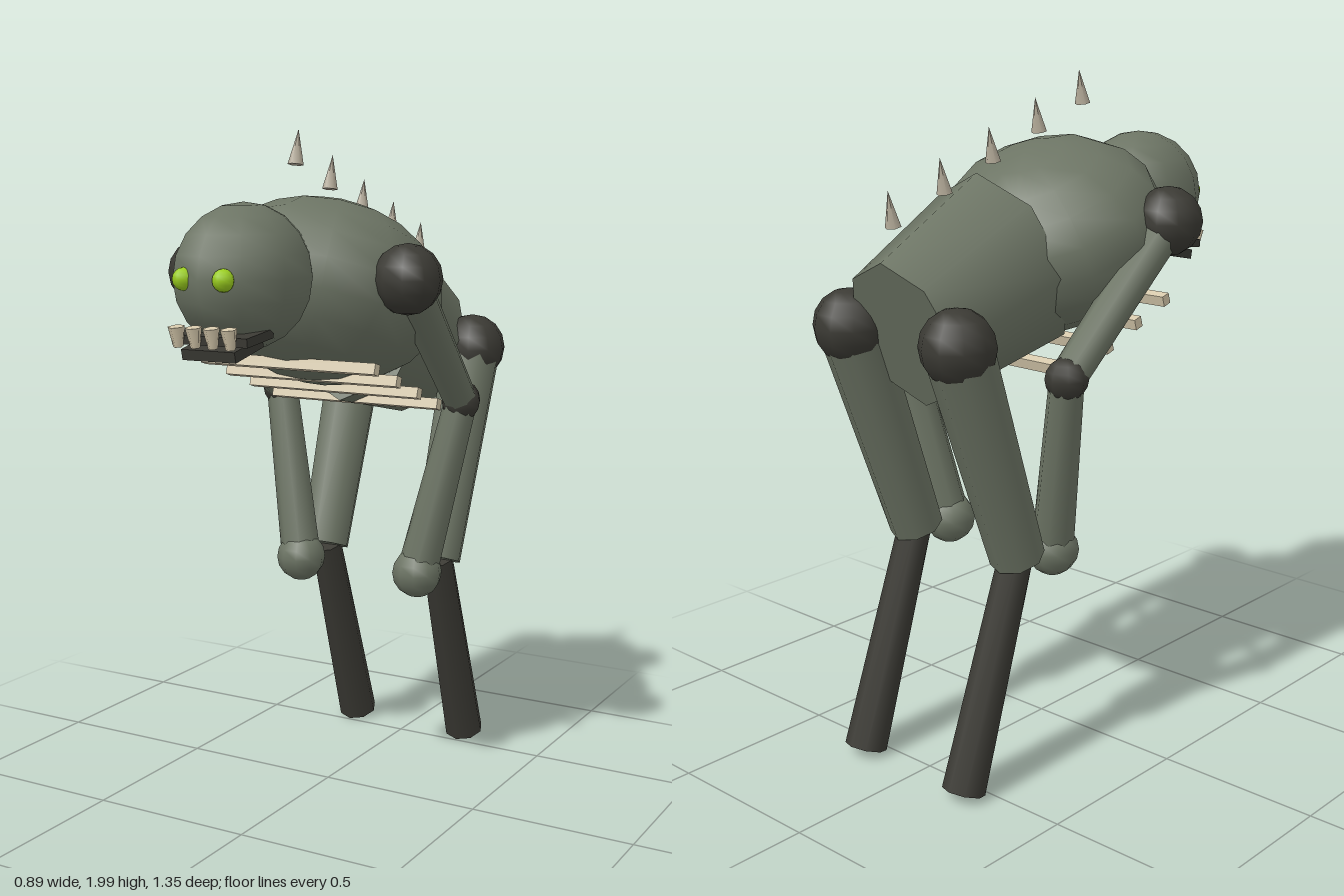
import * as THREE from 'three';

const paint = (name, color) => {
  const m = new THREE.MeshStandardMaterial({ color });
  m.name = name;
  return m;
};

export function createModel() {
  const skin = paint('greyGreenSkin', 0x6c7464);
  const dark = paint('darkHide', 0x3b3a34);
  const bone = paint('bone', 0xd6c9ac);
  const horn = paint('horn', 0xb3aa98);
  const glow = paint('limeEye', 0x9acd1e);

  const model = new THREE.Group();
  model.name = 'creature';

  const add = (name, geometry, material, [x, y, z], tilt = 0) => {
    const mesh = new THREE.Mesh(geometry, material);
    mesh.name = name;
    mesh.position.set(x, y, z);
    mesh.rotation.x = tilt;
    model.add(mesh);
    return mesh;
  };

  const ball = (name, r, material, at, segs = 10) =>
    add(name, new THREE.SphereGeometry(r, segs, 8), material, at);

  // tapered limb running from point a to point b
  const limb = (name, a, b, ra, rb, material, sides = 8) => {
    const from = new THREE.Vector3(...a), to = new THREE.Vector3(...b);
    const dir = to.clone().sub(from);
    const mesh = add(name, new THREE.CylinderGeometry(rb, ra, dir.length(), sides), material,
      from.clone().add(to).multiplyScalar(0.5).toArray());
    mesh.quaternion.setFromUnitVectors(new THREE.Vector3(0, 1, 0), dir.normalize());
    return mesh;
  };

  // torso
  add('ribcage', new THREE.SphereGeometry(1, 12, 10).scale(0.36, 0.268, 0.36), skin, [0, 1.53, 0.03], -0.4);
  const pelvis = limb('pelvis', [0, 1.464, -0.172], [0, 1.318, -0.563], 0.288, 0.225, skin);
  pelvis.scale.x = 0.87;

  // head and eyes
  add('head', new THREE.SphereGeometry(1, 10, 10, Math.PI / 10).scale(0.184, 0.2, 0.225), skin, [0, 1.6, 0.455]);
  for (const s of [-1, 1]) ball('eye', 0.031, glow, [s * 0.063, 1.602, 0.65], 8);

  // jaw and teeth
  add('upperJaw', new THREE.BoxGeometry(0.24, 0.025, 0.13), dark, [0, 1.447, 0.565], 0.12);
  add('lowerJaw', new THREE.BoxGeometry(0.17, 0.03, 0.14), dark, [0, 1.415, 0.565], 0.22);
  for (const x of [-0.083, -0.028, 0.028, 0.083])
    add('tooth', new THREE.CylinderGeometry(0.024, 0.014, 0.055, 5), bone, [x, 1.45, 0.655], 0.15);

  // belly ribs
  for (let i = 0; i < 4; i++)
    add('rib', new THREE.BoxGeometry(0.58, 0.032, 0.03), bone, [0, 1.338 - i * 0.049, 0.23 - i * 0.132], -0.3);

  // floating back spikes
  for (let i = 0; i < 5; i++)
    add('backSpike', new THREE.ConeGeometry(0.023, 0.1, 6), horn, [0, 1.948 - i * 0.07, 0.175 - i * 0.194], -0.17);

  // limbs, mirrored
  for (const s of [-1, 1]) {
    const side = s > 0 ? 'left' : 'right';
    const shoulder = [s * 0.345, 1.586, 0.156];
    const elbow = [s * 0.32, 1.194, -0.257];
    const hand = [s * 0.21, 0.655, -0.19];
    const hip = [s * 0.21, 1.32, -0.57];
    ball(side + 'Shoulder', 0.1, dark, shoulder);
    limb(side + 'UpperArm', shoulder, elbow, 0.06, 0.052, skin);
    ball(side + 'Elbow', 0.062, dark, elbow, 8);
    limb(side + 'Forearm', elbow, hand, 0.05, 0.063, skin);
    ball(side + 'Hand', 0.078, skin, hand);
    ball(side + 'Hip', 0.107, dark, hip);
    limb(side + 'Thigh', hip, [s * 0.205, 0.667, -0.336], 0.095, 0.08, skin);
    limb(side + 'Shin', [s * 0.205, 0.665, -0.345], [s * 0.205, 0.024, -0.567], 0.05, 0.063, dark);
  }
  return model;
}
